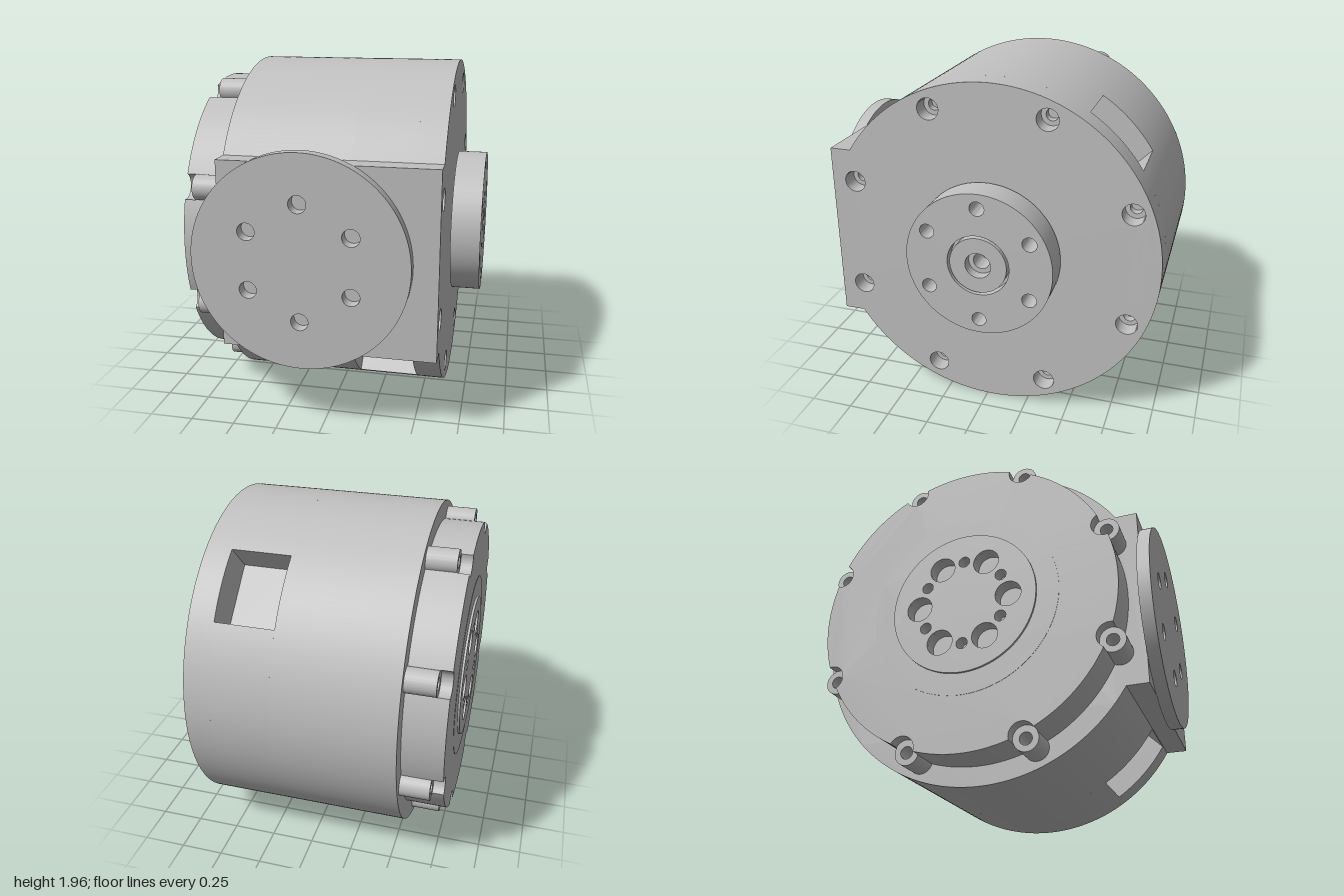
import * as THREE from 'three';
import { toCreasedNormals } from 'three/addons/utils/BufferGeometryUtils.js';

const CY = 0.98, CZ = -0.02;          // main axis, running along x
const BODY_R = 0.98, COVER_R = 0.87, BOLT_R = 0.876;
const TAU = Math.PI * 2;

// Evenly spaced positions on a circle
const ring = (count, radius, start) => Array.from({ length: count }, (_, i) => {
  const a = start + (i * TAU) / count;
  return [radius * Math.cos(a), radius * Math.sin(a)];
});

function drill(shape, centres, r) {
  for (const [u, v] of centres) shape.holes.push(new THREE.Path().absarc(u, v, r, 0, TAU, true));
  return shape;
}

const disc = (r) => new THREE.Shape().absarc(0, 0, r, 0, TAU, false);

// Housing outline: round with a square front; optionally two square pockets
function housingShape(pockets) {
  const half = 0.525, front = -0.95, a = Math.asin(half / BODY_R);
  const w = 0.21, floor = 0.738, d = Math.asin(w / BODY_R);
  const s = new THREE.Shape();
  s.moveTo(front, -half);
  s.lineTo(-BODY_R * Math.cos(a), -half);
  let from = a - Math.PI;
  if (pockets) {
    for (const c of [-Math.PI * 0.75, Math.PI * 0.25]) {
      const x = Math.cos(c), y = Math.sin(c);
      s.absarc(0, 0, BODY_R, from, c - d, false);
      s.lineTo(floor * x + w * y, floor * y - w * x);
      s.lineTo(floor * x - w * y, floor * y + w * x);
      from = c + d;
      s.lineTo(BODY_R * Math.cos(from), BODY_R * Math.sin(from));
    }
  }
  s.absarc(0, 0, BODY_R, from, Math.PI - a, false);
  s.lineTo(front, half);
  s.closePath();
  return s;
}

// Cover outline: a disc with eight bosses added, or eight round notches cut
function scallopShape(r, notched) {
  const s = new THREE.Shape();
  const alpha = Math.acos((COVER_R ** 2 + BOLT_R ** 2 - r * r) / (2 * COVER_R * BOLT_R));
  let from = -Math.PI / 8 + alpha - Math.PI / 4;
  from = -Math.PI / 8 + alpha;
  for (let i = 0; i < 8; i++) {
    const c = Math.PI / 8 + (i * Math.PI) / 4;
    const bu = BOLT_R * Math.cos(c), bv = BOLT_R * Math.sin(c);
    const angleTo = (t) => Math.atan2(COVER_R * Math.sin(t) - bv, COVER_R * Math.cos(t) - bu);
    s.absarc(0, 0, COVER_R, from, c - alpha, false);
    s.absarc(bu, bv, r, angleTo(c - alpha), angleTo(c + alpha), notched);
    from = c + alpha;
  }
  return s;
}

export function createModel() {
  const model = new THREE.Group();
  model.name = 'actuator';
  const grey = new THREE.MeshStandardMaterial({ color: 0xc0c0c0 });
  grey.name = 'machined grey';

  const extrude = (shape, depth, curveSegments) =>
    new THREE.ExtrudeGeometry(shape, { depth, bevelEnabled: false, curveSegments });

  function add(name, geometry) {
    const mesh = new THREE.Mesh(toCreasedNormals(geometry, 0.5), grey);
    mesh.name = name;
    model.add(mesh);
  }

  // Slab of a profile between two x positions, on the main axis
  function slab(name, shape, x0, x1, segments = 64) {
    add(name, extrude(shape, x1 - x0, segments).rotateY(Math.PI / 2).translate(x0, CY, CZ));
  }

  const bolts = ring(8, BOLT_R, Math.PI / 8);

  // Housing, with pockets in the middle and counterbored bolt holes at the output end
  slab('housingRear', housingShape(false), -0.56, 0.14, 96);
  slab('housingPockets', housingShape(true), 0.14, 0.48, 64);
  slab('housingBoltSeat', drill(housingShape(false), bolts, 0.035), 0.48, 0.53, 96);
  slab('housingEnd', drill(housingShape(false), bolts, 0.062), 0.53, 0.63, 96);

  // Output hub with bolt circle, ring groove and stepped centre bore
  const hub = drill(drill(disc(0.425), ring(6, 0.34, Math.PI / 2), 0.042), [[0, 0]], 0.18);
  slab('outputHub', hub, 0.64, 0.81);
  slab('outputShaft', drill(disc(0.18), [[0, 0]], 0.047), 0.63, 0.75);
  slab('outputCore', drill(disc(0.165), [[0, 0]], 0.075), 0.75, 0.81);

  // Rear cover: bossed base, notched plate and hub plate
  const bigHoles = ring(6, 0.265, 0), smallHoles = ring(6, 0.255, Math.PI / 6);
  const drillHub = (shape) => drill(drill(shape, bigHoles, 0.075), smallHoles, 0.033);
  slab('coverBase', drill(scallopShape(0.07, false), bolts, 0.035), -0.73, -0.56, 24);
  slab('coverPlate', drillHub(scallopShape(0.072, true)), -0.795, -0.73, 24);
  slab('coverBearingRing', drillHub(disc(0.55)), -0.797, -0.795);
  slab('rearHub', drillHub(disc(0.425)), -0.81, -0.797);

  // Front mounting flange
  const flange = drill(disc(0.595), ring(6, 0.325, Math.PI / 2), 0.048);
  add('frontFlange', extrude(flange, 0.07, 64).translate(-0.1, CY, 0.93));

  return model;
}
